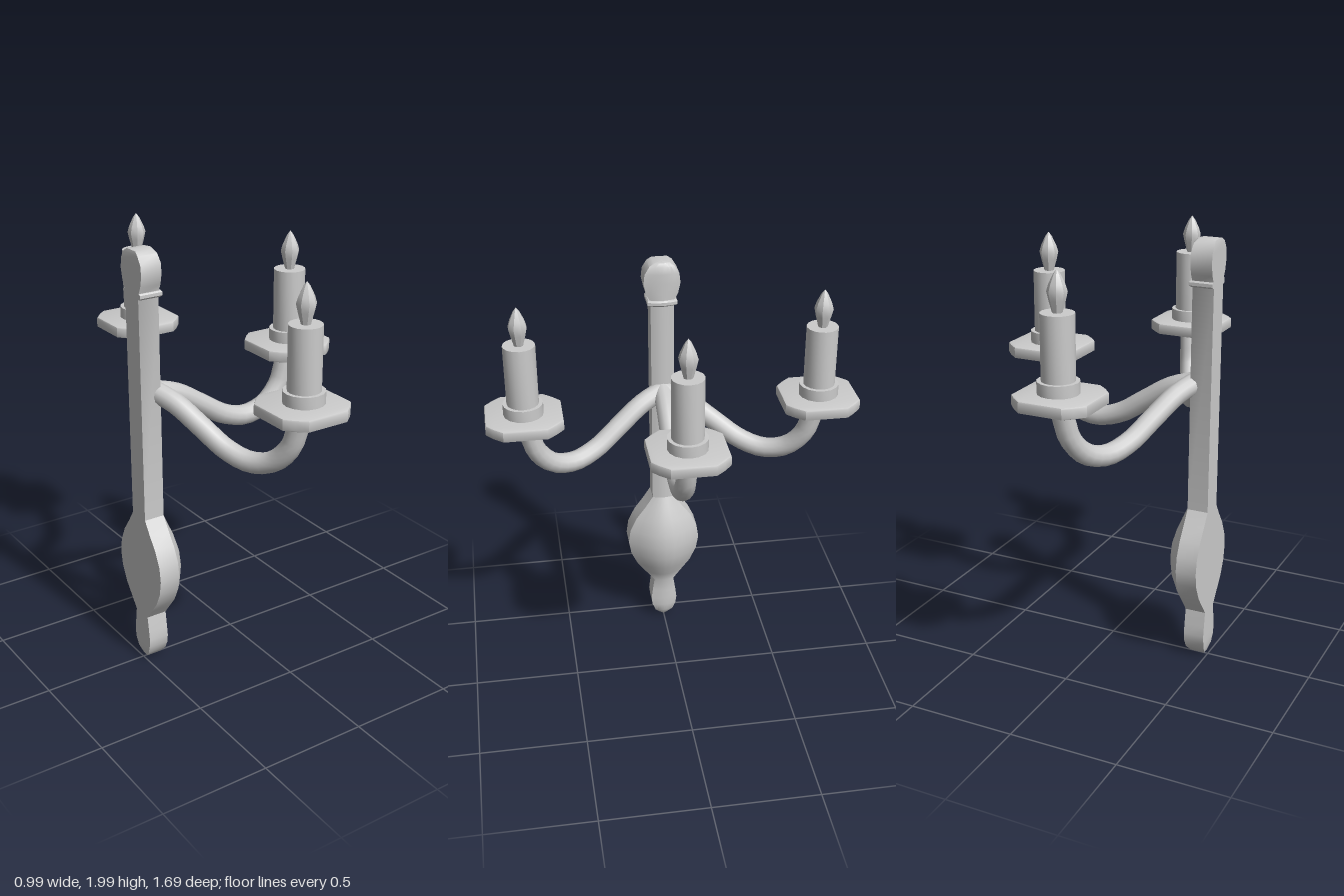
import * as THREE from 'three';
import { toCreasedNormals } from 'three/addons/utils/BufferGeometryUtils.js';

const grey = new THREE.MeshStandardMaterial({ color: 0xcccccc });

function add(parent, name, geometry, x = 0, y = 0, z = 0) {
  const mesh = new THREE.Mesh(geometry, grey);
  mesh.name = name;
  mesh.position.set(x, y, z);
  parent.add(mesh);
  return mesh;
}

// Skin closed rings of equal point count, listed from bottom to top
function loft(rings) {
  const n = rings[0].length;
  const index = [];
  for (let i = 0; i < rings.length - 1; i++) {
    for (let j = 0; j < n; j++) {
      const a = i * n + j, b = i * n + (j + 1) % n;
      index.push(a, a + n, b, b, a + n, b + n);
    }
  }
  const geometry = new THREE.BufferGeometry();
  geometry.setAttribute('position', new THREE.Float32BufferAttribute(rings.flat(2), 3));
  geometry.setIndex(index);
  return toCreasedNormals(geometry, 0.65);
}

// Section with a flat back, straight sides and a domed front
function section([y, halfWidth, back, side, front]) {
  const ring = [[back, y, -halfWidth]];
  for (let k = 0; k <= 8; k++) {
    const t = -1 + k / 4;
    const dome = Math.cos(t * Math.PI / 2);
    ring.push([side + (front - side) * dome, y, halfWidth * t]);
  }
  ring.push([back, y, halfWidth]);
  return ring;
}

// Stations: y, half width, back x, side x, front x
const lowerStations = [
  [0.01, 0, -0.47, -0.44, -0.43], [0.02, 0.018, -0.488, -0.42, -0.41],
  [0.05, 0.045, -0.497, -0.405, -0.395], [0.09, 0.061, -0.5, -0.402, -0.39],
  [0.13, 0.066, -0.5, -0.402, -0.39], [0.18, 0.06, -0.5, -0.402, -0.39],
  [0.25, 0.05, -0.5, -0.402, -0.39], [0.3, 0.088, -0.5, -0.402, -0.37],
  [0.36, 0.135, -0.5, -0.402, -0.338], [0.43, 0.168, -0.5, -0.402, -0.317],
  [0.5, 0.18, -0.5, -0.402, -0.31], [0.57, 0.17, -0.5, -0.402, -0.317],
  [0.64, 0.137, -0.5, -0.402, -0.338], [0.7, 0.093, -0.5, -0.402, -0.363],
  [0.76, 0.054, -0.5, -0.402, -0.39],
];
const upperStations = [
  [0.76, 0.054, -0.5, -0.402, -0.39], [1.81, 0.054, -0.5, -0.402, -0.39],
  [1.85, 0.074, -0.5, -0.402, -0.39], [1.9, 0.085, -0.5, -0.402, -0.39],
  [1.945, 0.08, -0.5, -0.402, -0.39], [1.98, 0.058, -0.5, -0.405, -0.393],
  [1.995, 0.036, -0.496, -0.415, -0.403], [2, 0, -0.485, -0.43, -0.42],
];

// Square drip pan with cut, slightly rounded corners
function panGeometry() {
  const corner = [[0.165, 0.095], [0.135, 0.13], [0.095, 0.165]];
  const outline = [];
  for (let q = 0; q < 4; q++) {
    const turn = q * Math.PI / 2;
    for (const [x, y] of corner) {
      outline.push(new THREE.Vector2(x, y).rotateAround(new THREE.Vector2(), turn));
    }
  }
  const geometry = new THREE.ExtrudeGeometry(new THREE.Shape(outline), {
    depth: 0.036, bevelThickness: 0.008, bevelSize: 0.008, bevelSegments: 2,
  });
  geometry.rotateX(-Math.PI / 2);
  return toCreasedNormals(geometry, 0.6);
}

// Swept arm: distance from the wall bar and height, running towards (x, z)
function armGeometry(x, z) {
  const startX = -0.41;
  const path = [[0, 1.355], [0.12, 1.315], [0.25, 1.235], [0.38, 1.155], [0.5, 1.125],
    [0.61, 1.155], [0.69, 1.24], [0.72, 1.33], [0.745, 1.425]];
  const points = path.map(([r, y]) => {
    const t = r / 0.745;
    return new THREE.Vector3(startX + (x - startX) * t, y, z * t);
  });
  return new THREE.TubeGeometry(new THREE.CatmullRomCurve3(points), 24, 0.047, 12);
}

function lathe(profile, sides) {
  const points = profile.map(([r, y]) => new THREE.Vector2(r, y));
  return toCreasedNormals(new THREE.LatheGeometry(points, sides, Math.PI / 8), 0.6);
}

export function createModel() {
  const model = new THREE.Group();
  model.name = 'wallSconce';

  // Wall bar with its leaf-shaped lower boss, top finial and collar
  add(model, 'lowerBoss', loft(lowerStations.map(section)));
  add(model, 'wallBar', loft(upperStations.map(section)));
  add(model, 'collar', loft([
    [1.793, 0, -0.5, -0.4, -0.39], [1.793, 0.064, -0.5, -0.4, -0.385],
    [1.8, 0.07, -0.5, -0.39, -0.378], [1.814, 0.07, -0.5, -0.39, -0.378],
    [1.82, 0.064, -0.5, -0.4, -0.385], [1.82, 0, -0.5, -0.4, -0.39],
  ].map(section)));

  // Rounded root where the three arms meet the bar
  const root = add(model, 'armRoot', new THREE.SphereGeometry(0.047, 12, 8), -0.41, 1.355, 0);
  root.scale.set(1, 0.95, 1.1);

  // Three arms, each with a pan, socket, candle and flame
  const ends = [['front', 0.325, 0], ['left', -0.095, 0.672], ['right', -0.082, -0.674]];
  for (const [name, x, z] of ends) {
    const branch = new THREE.Group();
    branch.name = name + 'Branch';
    model.add(branch);
    add(branch, 'arm', armGeometry(x, z));
    add(branch, 'dripPan', panGeometry(), x - 0.007, 1.408, z);
    add(branch, 'socket', lathe([[0, 1.44], [0.09, 1.44], [0.09, 1.505], [0, 1.505]], 16), x, 0, z);
    add(branch, 'candle', lathe([[0, 1.5], [0.072, 1.5], [0.072, 1.785], [0, 1.785]], 16), x, 0, z);
    add(branch, 'flame', lathe([[0, 1.78], [0.02, 1.78], [0.035, 1.835], [0.043, 1.87],
      [0.034, 1.9], [0.015, 1.94], [0, 1.96]], 8), x, 0, z);
  }
  return model;
}
